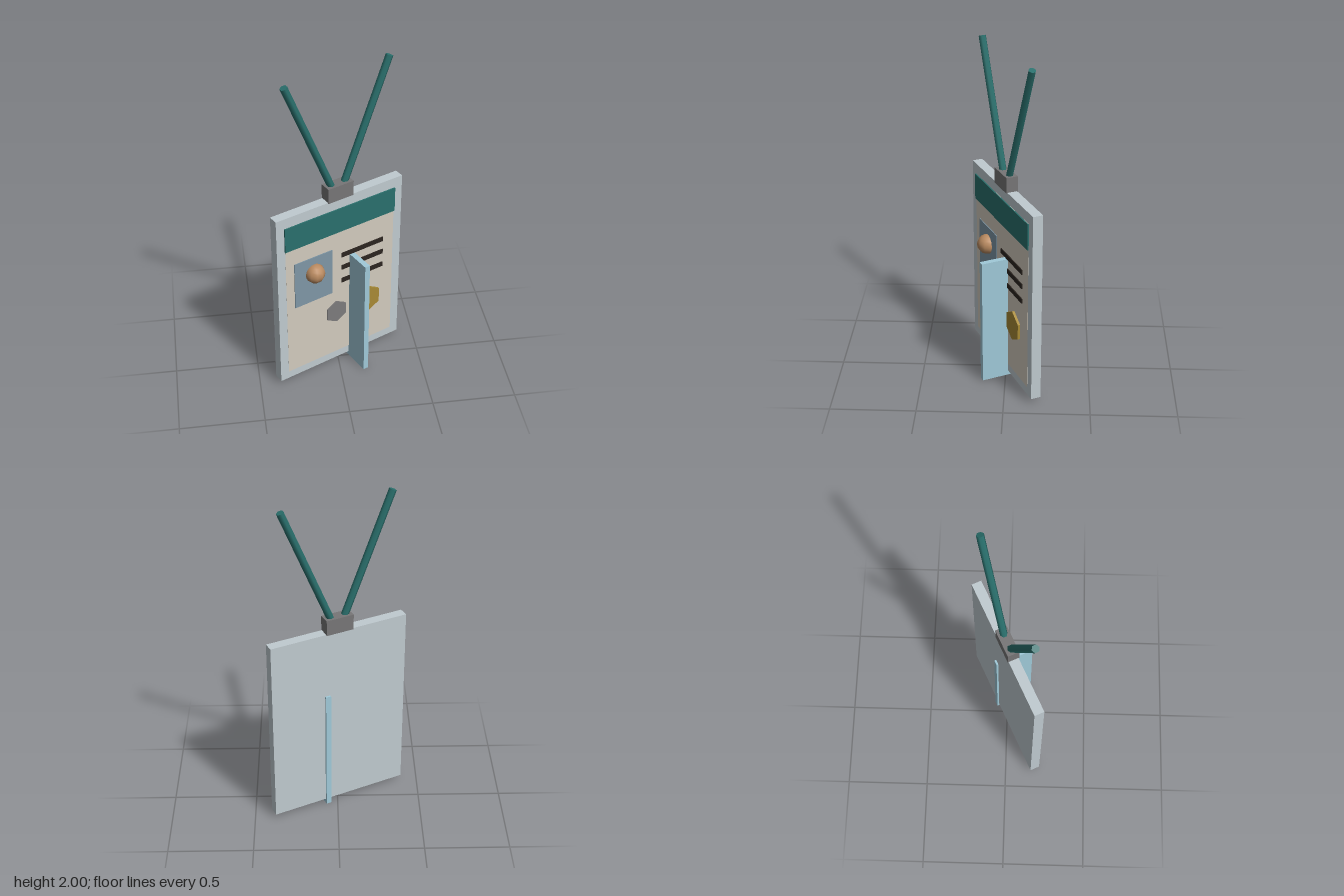
import * as THREE from 'three';

export function createModel() {
  const root = new THREE.Group();
  root.name = 'badge';
  // the whole badge is turned about the vertical axis
  const turned = new THREE.Group();
  turned.name = 'turnedBadge';
  turned.rotation.y = 0.45;
  root.add(turned);

  const mat = (color) => new THREE.MeshStandardMaterial({ color });
  const teal = mat(0x2a706d);
  const dark = mat(0x2c2520);
  const grey = mat(0x777677);

  const add = (name, geometry, material, x, y, z) => {
    const mesh = new THREE.Mesh(geometry, material);
    mesh.name = name;
    mesh.position.set(x, y, z);
    turned.add(mesh);
    return mesh;
  };
  // box given by its limits in x, y and z
  const box = (name, material, [x0, x1], [y0, y1], [z0, z1]) =>
    add(name, new THREE.BoxGeometry(x1 - x0, y1 - y0, z1 - z0), material,
      (x0 + x1) / 2, (y0 + y1) / 2, (z0 + z1) / 2);

  // card, paper insert and header band
  box('card', mat(0xc0cbd0), [-0.43, 0.43], [0.03, 1.2], [-0.03, 0.03]);
  box('paperInsert', mat(0xd2cbbe), [-0.375, 0.375], [0.08, 1.135], [0, 0.031]);
  box('headerBand', teal, [-0.378, 0.378], [0.975, 1.135], [0.02, 0.038]);

  // portrait with a round head
  box('portraitPanel', mat(0x7f97a6), [-0.32, -0.062], [0.55, 0.865], [0.02, 0.036]);
  add('portraitHead', new THREE.SphereGeometry(0.06, 10, 10), mat(0xb98a60), -0.187, 0.757, 0.043);

  // text bars
  for (const y of [0.8, 0.71, 0.615]) {
    box('textBar', dark, [0.005, 0.3], [y - 0.015, y + 0.015], [0.02, 0.037]);
  }

  // hexagonal seals, one corner up
  const seal = (name, material, radius, x, front) => {
    const geometry = new THREE.CylinderGeometry(radius, radius, front - 0.02, 6);
    geometry.rotateX(Math.PI / 2);
    add(name, geometry, material, x, 0.397, (front + 0.02) / 2).material.flatShading = true;
  };
  seal('greySeal', mat(0x7d7b7c), 0.077, -0.033, 0.038);
  seal('goldSeal', mat(0xa88a35), 0.095, 0.19, 0.046);

  // upright fin passing through the card
  box('standFin', mat(0xa0cad9), [0.062, 0.095], [0, 0.785], [-0.042, 0.193]);

  // clip and the two lanyard straps
  box('clip', grey, [-0.085, 0.085], [1.195, 1.29], [-0.035, 0.035]);
  for (const side of [-1, 1]) {
    const from = new THREE.Vector3(side * 0.038, 1.265, 0);
    const to = new THREE.Vector3(side * 0.337, 1.992, 0);
    const dir = to.clone().sub(from);
    const mid = from.clone().add(to).multiplyScalar(0.5);
    const geometry = new THREE.CylinderGeometry(0.022, 0.022, dir.length(), 6);
    const strap = add(side < 0 ? 'rightStrap' : 'leftStrap', geometry, teal, mid.x, mid.y, 0);
    strap.quaternion.setFromUnitVectors(new THREE.Vector3(0, 1, 0), dir.normalize());
  }
  return root;
}
